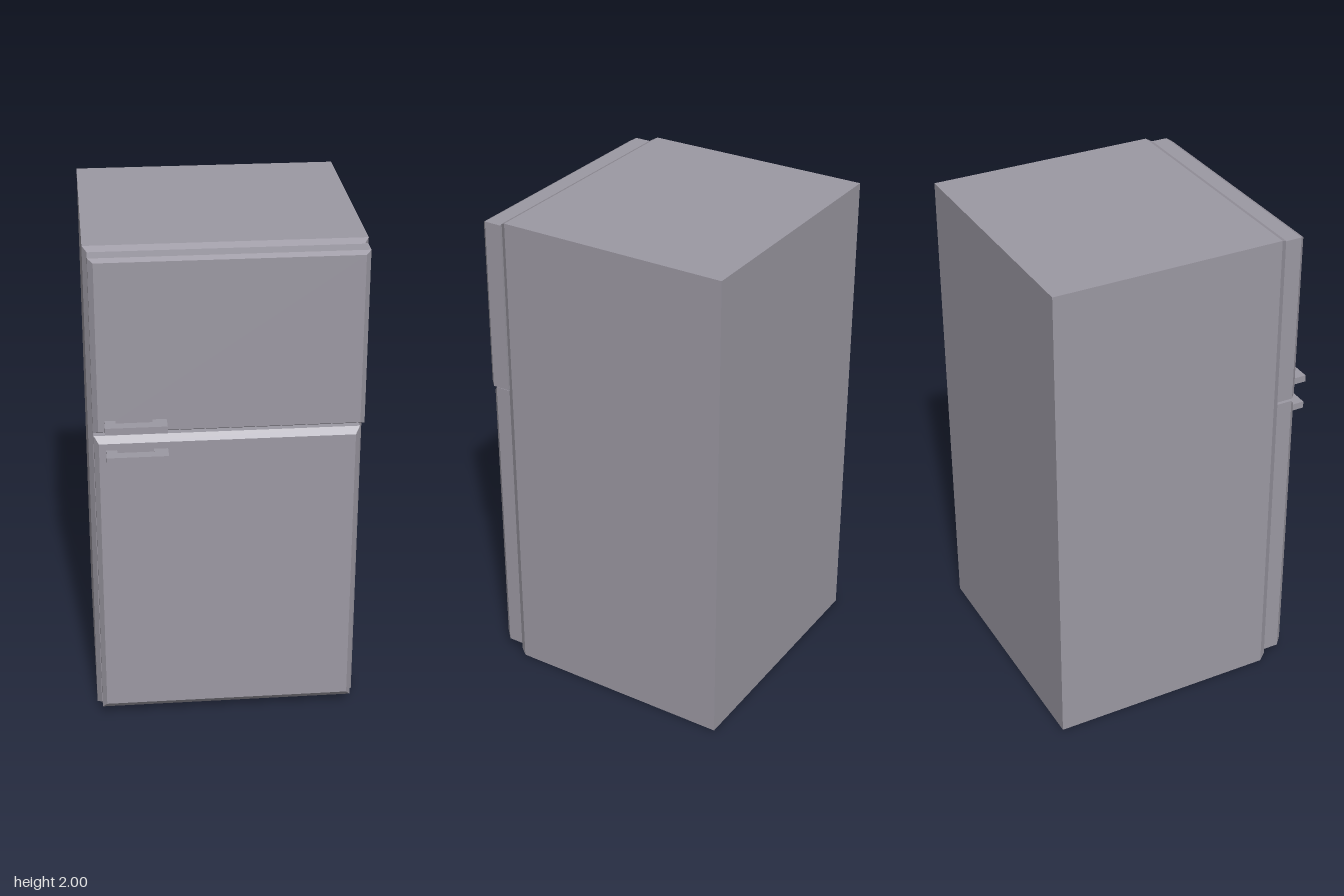
import * as THREE from 'three';

// Closed or bottomless solid from rectangular sections [x0, x1, y0, y1, z], ordered back to front
function loftBox(sections, openBottom = false) {
  const rings = sections.map(([x0, x1, y0, y1, z]) => [
    [x0, y0, z], [x1, y0, z], [x1, y1, z], [x0, y1, z],
  ]);
  const pos = [];
  const quad = (a, b, c, d) => pos.push(...a, ...b, ...c, ...a, ...c, ...d);
  for (let r = 0; r < rings.length - 1; r++) {
    const a = rings[r], b = rings[r + 1];
    for (let i = 0; i < 4; i++) {
      if (openBottom && r === 0 && i === 0) continue;
      const j = (i + 1) % 4;
      quad(a[i], a[j], b[j], b[i]);
    }
  }
  const back = rings[0], front = rings[rings.length - 1];
  quad(back[3], back[2], back[1], back[0]);
  quad(front[0], front[1], front[2], front[3]);
  const g = new THREE.BufferGeometry();
  g.setAttribute('position', new THREE.Float32BufferAttribute(pos, 3));
  g.computeVertexNormals();
  return g;
}

// Slab with a bevelled front edge
function doorGeometry(x0, x1, y0, y1, bx, by) {
  return loftBox([
    [x0, x1, y0, y1, 0.403],
    [x0, x1, y0, y1, 0.474],
    [x0 + bx, x1 - bx, y0 + by, y1 - by, 0.495],
  ]);
}

// Flat U-shaped pull, drawn in plan and extruded upwards
function handleGeometry() {
  const s = new THREE.Shape();
  const pts = [
    [0, 0], [0.042, 0], [0.042, 0.027], [0.182, 0.027],
    [0.182, 0], [0.236, 0], [0.236, 0.07], [0, 0.07],
  ];
  s.setFromPoints(pts.map(([x, z]) => new THREE.Vector2(x, -z)));
  const g = new THREE.ExtrudeGeometry(s, { depth: 0.028, bevelEnabled: false });
  g.rotateX(-Math.PI / 2);
  return g;
}

export function createModel() {
  const enamel = new THREE.MeshStandardMaterial({ color: 0x9c99a3, side: THREE.DoubleSide });
  enamel.name = 'greyEnamel';

  const group = new THREE.Group();
  group.name = 'refrigerator';
  const add = (name, geometry) => {
    const mesh = new THREE.Mesh(geometry, enamel);
    mesh.name = name;
    group.add(mesh);
    return mesh;
  };

  // Hollow cabinet, open underneath, with a bevelled front rim
  add('cabinet', loftBox([
    [-0.532, 0.532, 0, 2, -0.562],
    [-0.532, 0.532, 0, 2, 0.38],
    [-0.514, 0.514, 0.015, 1.985, 0.408],
  ], true));

  // Doors
  add('freezerDoor', doorGeometry(-0.515, 0.527, 1.283, 1.985, 0.02, 0.012));
  add('fridgeDoor', doorGeometry(-0.512, 0.51, 0.036, 1.27, 0.018, 0.026));

  // Handles
  const handle = handleGeometry();
  add('freezerHandle', handle).position.set(-0.471, 1.313, 0.492);
  add('fridgeHandle', handle).position.set(-0.467, 1.189, 0.492);

  return group;
}
